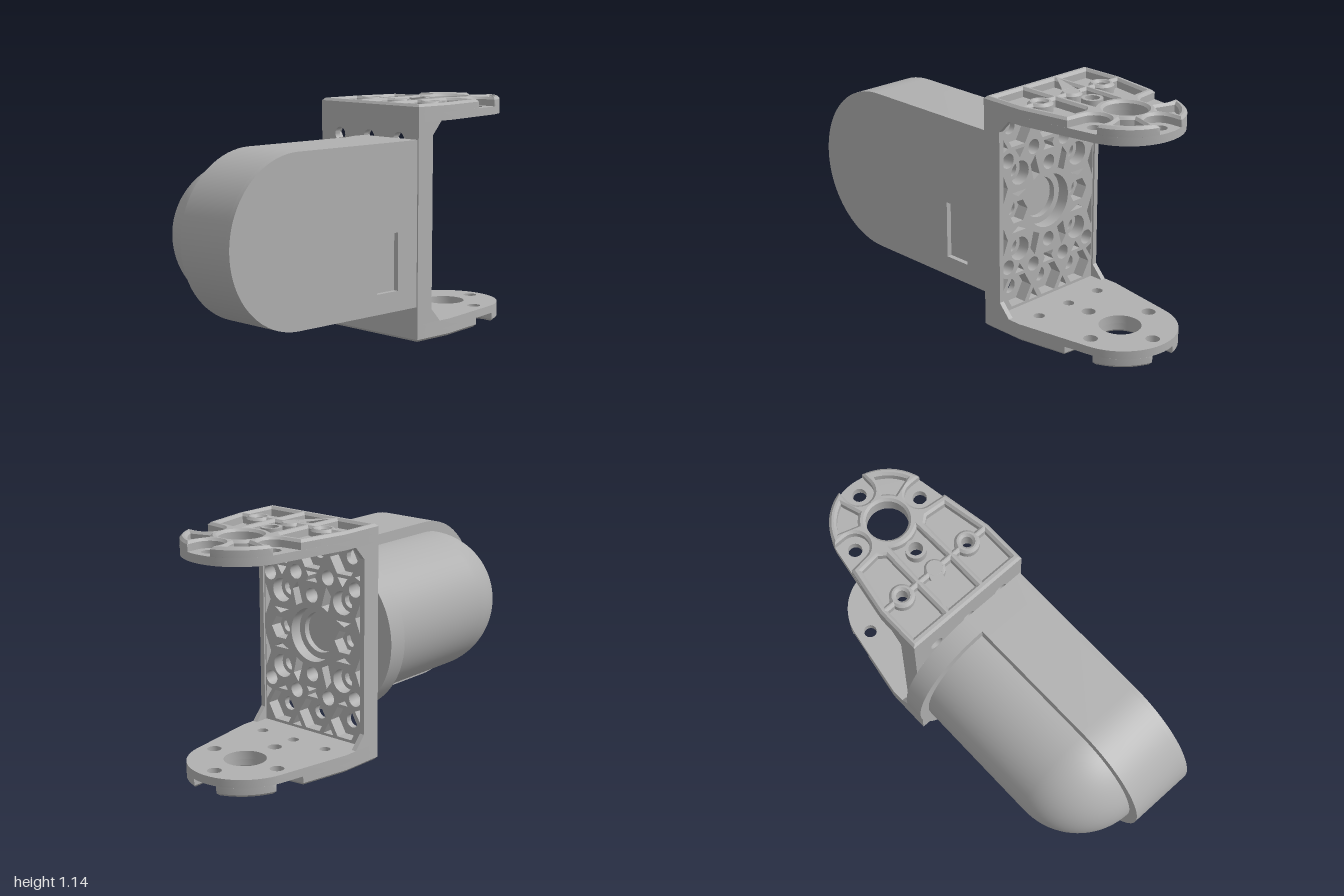
import * as THREE from 'three';
import { toCreasedNormals } from 'three/addons/utils/BufferGeometryUtils.js';

const H = 1.145, ZC = 0.037, ARM = 0.085, CH = 0.012;
const PI = Math.PI;

// point helpers: arcs, circles, hexagons and mirrored copies
function arc(cx, cy, r, a0, a1, n = 12) {
  const p = [];
  for (let i = 0; i <= n; i++) {
    const a = a0 + (a1 - a0) * i / n;
    p.push([cx + r * Math.cos(a), cy + r * Math.sin(a)]);
  }
  return p;
}
const ngon = (cx, cy, r, n = 24) => arc(cx, cy, r, 0, 2 * PI * (n - 1) / n, n - 1);
const flip = (pts, su, sv) => pts.map(([u, v]) => [u * su, v * sv]);
const vec = pts => pts.map(([u, v]) => new THREE.Vector2(u, v));

function shapeOf(outline, holes = []) {
  const s = new THREE.Shape(vec(outline));
  for (const h of holes) s.holes.push(new THREE.Path(vec(h)));
  return s;
}
function extrude(shape, depth, chamfer = 0) {
  const g = new THREE.ExtrudeGeometry(shape, {
    depth: depth - 2 * chamfer, bevelEnabled: chamfer > 0, bevelThickness: chamfer,
    bevelSize: chamfer, bevelOffset: -chamfer, bevelSegments: 1,
  });
  g.translate(0, 0, chamfer);
  return toCreasedNormals(g, 0.6);
}

export function createModel() {
  const root = new THREE.Group();
  root.name = 'servoBracket';
  const grey = new THREE.MeshStandardMaterial({ color: 0xb0b0b0 });
  grey.name = 'grey plastic';
  const add = (name, geo, parent = root) => {
    const m = new THREE.Mesh(geo, grey);
    m.name = name;
    parent.add(m);
    return m;
  };

  // ---- body: stadium slab with a shallow window on the front
  const yc = 0.575;
  const stadium = [[0.17, yc - 0.403], [0.17, yc + 0.403], ...arc(-0.597, yc, 0.403, PI / 2, 3 * PI / 2, 40)];
  const win = [[-0.1, 0.27], [0.04, 0.27], [0.04, 0.55], [-0.1, 0.55]];
  add('bodySlab', extrude(shapeOf(stadium), 0.305).translate(0, 0, 0.03));
  add('bodyFront', extrude(shapeOf(stadium, [win]), 0.025).translate(0, 0, 0.335));

  // ---- half-capsule dome on the back and its collar
  const profile = [...arc(0, -0.6, 0.35, -PI / 2, 0, 20), [0.35, 0.07]];
  add('dome', new THREE.LatheGeometry(vec(profile), 48, PI / 2, PI)
    .rotateZ(-PI / 2).translate(0, yc, 0.03));
  add('collar', new THREE.CylinderGeometry(0.403, 0.403, 0.1, 48, 1, false, PI / 2, PI)
    .rotateZ(-PI / 2).translate(0.12, yc, 0.03));

  // ---- arms: flat inner plate plus a ribbed, chamfered outer layer
  const tip = Math.atan2(0.265, 0.05);
  const baseOutline = [[0.17, -0.33], [0.4, -0.33], ...arc(0.73, 0, 0.27, -tip, tip, 32), [0.4, 0.33], [0.17, 0.33]];
  const bolts = [ngon(0.4, 0, 0.027, 16), ngon(0.4, 0.2, 0.027, 16), ngon(0.4, -0.2, 0.027, 16), ngon(0.73, 0, 0.1, 32)];
  const seats = [[0.73, 0.2], [0.73, -0.2], [0.93, 0], [0.53, 0]].map(([x, s]) => ngon(x, s, 0.034, 16));
  const ribOutline = [
    [0.17, -0.33], [0.4, -0.33], [0.65, -0.287],
    ...arc(0.73, -0.2, 0.07, PI, 0),
    ...arc(0.73, 0, 0.27, -1.309, -0.262, 10),
    ...arc(0.93, 0, 0.07, -PI / 2, -3 * PI / 2),
    ...arc(0.73, 0, 0.27, 0.262, 1.309, 10),
    ...arc(0.73, 0.2, 0.07, 0, -PI),
    [0.65, 0.287], [0.4, 0.33], [0.17, 0.33],
  ];
  const sidePockets = [
    [[0.21, 0.12], [0.385, 0.12], ...arc(0.4, 0.2, 0.06, 4.46, 1.82), [0.385, 0.298], [0.21, 0.298]],
    [[0.415, 0.12], [0.6, 0.12], [0.625, 0.15], [0.615, 0.255], [0.415, 0.292], ...arc(0.4, 0.2, 0.06, 1.32, -1.32)],
    [...arc(0.73, 0, 0.137, 0.55, 1.02, 5), ...arc(0.73, 0, 0.235, 1.12, 0.45, 7)],
  ];
  const ribHoles = [
    ...bolts,
    ...sidePockets, ...sidePockets.map(p => flip(p, 1, -1)),
    [[0.21, -0.085], [0.385, -0.085], ...arc(0.4, 0, 0.05, 4.41, 1.87), [0.385, 0.085], [0.21, 0.085]],
    [[0.415, -0.085], ...arc(0.73, 0, 0.14, 3.75, 2.53), [0.415, 0.085], ...arc(0.4, 0, 0.05, 1.27, -1.27)],
  ];
  const lay = (geo, top) => geo.rotateX(PI / 2).translate(0, top, ZC);
  const makeArm = (name, baseTop, ribTop, bossTop) => {
    const arm = new THREE.Group();
    arm.name = name;
    root.add(arm);
    add('armPlate', lay(extrude(shapeOf(baseOutline, [...bolts, ...seats]), 0.04), baseTop), arm);
    add('armRibs', lay(extrude(shapeOf(ribOutline, ribHoles), 0.045 + CH, CH), ribTop), arm);
    add('screwBoss', lay(extrude(shapeOf(ngon(0.53, 0, 0.05), [ngon(0.53, 0, 0.034, 16)]), 0.045), bossTop), arm);
  };
  makeArm('upperArm', H - 0.045, H, H);
  makeArm('lowerArm', ARM, 0.045 + CH, 0.045);

  // ---- back plate: drilled floor and a deep lattice facing the arms
  const rect = (w, h) => [[-w, -h], [w, -h], [w, h], [-w, h]];
  const quads = [[1, 1], [-1, 1], [1, -1], [-1, -1]];
  const nuts = [], drills = [], pockets = [];
  for (const v of [-0.4, 0.4]) for (const u of [-0.2, 0, 0.2]) nuts.push([u, v, 0.085]);
  nuts.push([-0.2, 0, 0.06], [0.2, 0, 0.06]);
  for (const [u, v, r] of nuts) {
    pockets.push(ngon(u, v, r, 6));
    drills.push(ngon(u, v, 0.035));
  }
  const wedges = [
    [[0.3, 0.38], [0.3, 0.31], [0.265, 0.325]],
    [[0.3, 0.21], [0.3, 0.05], [0.267, 0.13]],
    [[0.06, 0.15], [0.09, 0.25], [0.12, 0.21], [0.1, 0.13]],
    [[0.15, 0.1], [0.24, 0.1], [0.2, 0.075]],
    [[0.07, 0.475], [0.13, 0.475], [0.1, 0.42]],
    [[0.16, 0.31], [0.22, 0.31], [0.19, 0.265]],
  ];
  for (const [su, sv] of quads) {
    for (const [u, v] of [[0.1, 0.295], [0.265, 0.265]]) {
      pockets.push(ngon(su * u, sv * v, 0.036));
      drills.push(ngon(su * u, sv * v, 0.036));
    }
    pockets.push(ngon(su * 0.19, sv * 0.19, 0.058));
    drills.push(ngon(su * 0.19, sv * 0.19, 0.036));
    for (const w of wedges) pockets.push(flip(w, su, sv));
  }
  for (const sv of [1, -1]) {
    pockets.push(ngon(0, sv * 0.195, 0.036));
    drills.push(ngon(0, sv * 0.195, 0.036));
    pockets.push(flip([[-0.035, 0.262], [0.035, 0.262], [0.022, 0.286], [0.035, 0.31],
      [-0.035, 0.31], [-0.022, 0.286]], 1, sv));
  }
  pockets.push(ngon(0, 0, 0.132, 40));
  drills.push(ngon(0, 0, 0.1, 40));
  const stand = (geo, x) => geo.rotateY(PI / 2).translate(x, H / 2, ZC);
  add('backPlateFloor', stand(extrude(shapeOf(rect(0.33, H / 2 - CH), drills), 0.03), 0.17));
  add('backPlateLattice', stand(extrude(shapeOf(rect(0.33, H / 2 - ARM), pockets), 0.06), 0.2));

  // ---- raised rims with corner gussets along both plate edges
  const rim = [[0.2, ARM], [0.33, ARM], [0.27, 0.15], [0.27, H - 0.15], [0.33, H - ARM], [0.2, H - ARM]];
  for (const z of [ZC - 0.33, ZC + 0.305]) add('edgeRim', extrude(shapeOf(rim), 0.025).translate(0, 0, z));

  return root;
}
